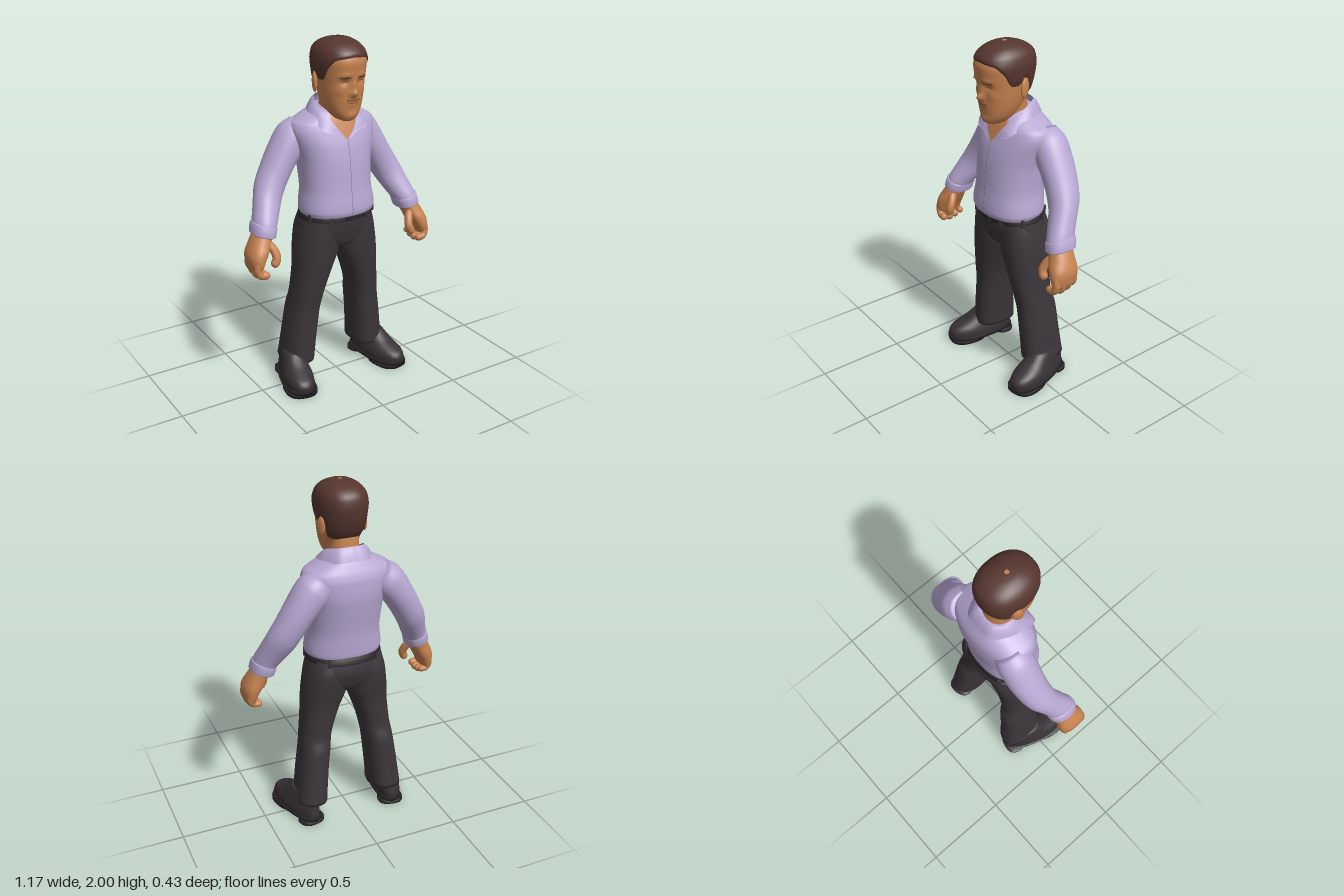
import * as THREE from 'three';
import { mergeVertices } from 'three/addons/utils/BufferGeometryUtils.js';

const mat = (name, color) => Object.assign(new THREE.MeshStandardMaterial({ color, side: THREE.DoubleSide }), { name });
const M = {
  skin: mat('skin', 0xc68250), crease: mat('faceCrease', 0x8f5935), hair: mat('hair', 0x56362e),
  shirt: mat('shirt', 0xb8a8d3), seam: mat('shirtSeam', 0x7d7193), pants: mat('trousers', 0x3b353a),
  belt: mat('belt', 0x2a2529), shoe: mat('shoe', 0x383236), sole: mat('sole', 0x262226),
};
const mesh = (name, geo, m) => Object.assign(new THREE.Mesh(geo, m), { name });

// Smooth surface through rows of points
function skinRows(rows) {
  const n = rows[0].length, pos = rows.flat().flatMap(p => [p.x, p.y, p.z]), idx = [];
  for (let j = 0; j < rows.length - 1; j++) for (let i = 0; i < n - 1; i++) {
    const a = j * n + i;
    idx.push(a, a + 1, a + n + 1, a, a + n + 1, a + n);
  }
  let g = new THREE.BufferGeometry();
  g.setAttribute('position', new THREE.Float32BufferAttribute(pos, 3));
  g.setIndex(idx);
  g = mergeVertices(g, 1e-5);
  g.computeVertexNormals();
  return g;
}
const grid = (f, nu, nv) => skinRows(Array.from({ length: nv + 1 }, (_, j) =>
  Array.from({ length: nu + 1 }, (_, i) => f(i / nu, j / nv))));

// Interpolates a table whose first column is the key, without overshoot
function sample(t, y) {
  let k = 0;
  while (k < t.length - 2 && y > t[k + 1][0]) k++;
  const h = t[k + 1][0] - t[k][0], s = THREE.MathUtils.clamp((y - t[k][0]) / h, 0, 1);
  const slope = (i, c) => (t[i + 1][c] - t[i][c]) / (t[i + 1][0] - t[i][0]);
  const tangent = (i, c) => {
    if (i === 0) return slope(0, c);
    if (i === t.length - 1) return slope(i - 1, c);
    const a = slope(i - 1, c), b = slope(i, c);
    return a * b <= 0 ? 0 : 2 * a * b / (a + b);
  };
  return t[k].map((p, c) => c === 0 ? y :
    p * (1 + 2 * s) * (1 - s) ** 2 + t[k + 1][c] * s * s * (3 - 2 * s) +
    h * tangent(k, c) * s * (1 - s) ** 2 + h * tangent(k + 1, c) * s * s * (s - 1));
}

// Point on a body of sections [y, centreX, halfWidth, zFront, zBack, tilt]; angle 0 faces front
function ringPoint(secs, y, a, off = 0, pow = 2.3) {
  const [, cx, rx, zf, zb, tilt = 0] = sample(secs, y), q = v => Math.sign(v) * Math.abs(v) ** (2 / pow);
  const x = q(Math.sin(a)) * (rx + off), z = (zf + zb) / 2 + q(Math.cos(a)) * ((zf - zb) / 2 + off);
  return new THREE.Vector3(cx + x * Math.cos(tilt), y + x * Math.sin(tilt), z);
}
const levels = (secs, sub) => secs.slice(1).flatMap((s, i) =>
  Array.from({ length: sub }, (_, k) => secs[i][0] + (s[0] - secs[i][0]) * (k + 1) / sub));

function loft(secs, { sub = 4, seg = 32, pow = 2.3, point = ringPoint } = {}) {
  const ys = [secs[0][0], ...levels(secs, sub)];
  const rows = ys.map(y => Array.from({ length: seg + 1 }, (_, i) => point(secs, y, -Math.PI + i * 2 * Math.PI / seg, 0, pow)));
  const cap = row => {
    const c = row[0].clone().add(row[seg / 2]).multiplyScalar(0.5);
    return row.map(() => c);
  };
  return skinRows([cap(rows[0]), ...rows, cap(rows[rows.length - 1])]);
}

// Adds a mesh and its mirror image
function pair(group, name, geo, m) {
  const g = geo.clone().scale(-1, 1, 1), ix = g.index.array;
  for (let i = 0; i < ix.length; i += 3) [ix[i], ix[i + 1]] = [ix[i + 1], ix[i]];
  group.add(mesh('left' + name, geo, m), mesh('right' + name, g, m));
}

const torso = [
  [1.03, 0, .212, .165, -.163], [1.06, 0, .22, .172, -.17], [1.18, 0, .204, .158, -.178], [1.32, 0, .212, .145, -.2],
  [1.42, 0, .235, .127, -.212], [1.5, 0, .255, .1, -.208], [1.54, 0, .245, .085, -.197], [1.575, 0, .19, .07, -.18],
  [1.61, 0, .12, .05, -.16], [1.63, 0, .08, .03, -.14]];
const arm = [
  [.985, .475, .062, .093, -.065, .25], [1.03, .46, .066, .085, -.078, .35], [1.09, .432, .073, .055, -.11, .45],
  [1.19, .385, .082, .01, -.165, .5], [1.28, .334, .084, -.003, -.19, .53], [1.36, .285, .088, -.005, -.203, .58],
  [1.45, .218, .098, -.005, -.208, .8], [1.5, .165, .08, -.02, -.19, .9]];
const cuff = [
  [.972, .478, .062, .093, -.066, .25], [.978, .477, .068, .1, -.072, .25], [1.025, .464, .069, .092, -.079, .32], [1.032, .461, .062, .08, -.07, .32]];
const palm = [
  [.8, .548, .03, .115, -.03], [.84, .543, .042, .127, -.04], [.89, .528, .056, .122, -.046], [.94, .503, .058, .1, -.044], [1.0, .475, .05, .075, -.045]];
const leg = [
  [.125, .238, .092, .06, -.198], [.2, .23, .09, .062, -.19], [.32, .217, .088, .066, -.178], [.45, .2, .086, .07, -.168],
  [.55, .184, .088, .084, -.142], [.7, .152, .105, .105, -.142], [.82, .126, .124, .115, -.158], [.93, .114, .118, .12, -.17], [1.02, .105, .1, .12, -.15]];
const pelvis = [
  [.805, 0, .05, .05, -.1], [.84, 0, .16, .1, -.145], [.89, 0, .228, .12, -.168], [.95, 0, .228, .135, -.183], [1.05, 0, .205, .145, -.165]];
const belt = [[1.0, 0, .212, .145, -.17], [1.002, 0, .219, .153, -.178], [1.04, 0, .213, .157, -.172], [1.042, 0, .2, .14, -.16]];
const head = [
  [1.565, 0, .03, .135, .06], [1.578, 0, .055, .155, .01], [1.62, 0, .087, .164, -.03], [1.68, 0, .108, .17, -.07],
  [1.75, 0, .12, .175, -.11], [1.82, 0, .127, .187, -.133], [1.88, 0, .132, .194, -.14], [1.93, 0, .122, .178, -.132],
  [1.965, 0, .096, .14, -.1], [1.985, 0, .062, .095, -.052], [1.993, 0, .035, .065, -.015], [1.995, 0, .004, .03, .02]];
const neck = [[1.5, 0, .07, .05, -.1], [1.6, 0, .082, .082, -.11], [1.66, 0, .084, .09, -.1], [1.74, 0, .085, .09, -.09]];

// Face relief [x, y, spreadX, spreadY, depth]: nose, brows, eye sockets, lips, chin, cheeks
const relief = [
  [0, 1.722, .02, .02, .035], [0, 1.765, .014, .03, .019], [.05, 1.818, .035, .014, .007], [.047, 1.785, .024, .016, -.014],
  [0, 1.683, .035, .012, .008], [0, 1.657, .028, .008, .005], [0, 1.6, .03, .018, .007], [.075, 1.735, .025, .025, .006]];
function headPoint(secs, y, a, off = 0, pow = 2.3) {
  const p = ringPoint(secs, y, a, off, pow);
  if (Math.cos(a) > 0) for (const [x, by, sx, sy, d] of relief)
    p.z += d * Math.exp(-(((Math.abs(p.x) - x) / sx) ** 2) - ((y - by) / sy) ** 2);
  return p;
}
const headPatch = (a0, a1, y0, y1) => grid((u, v) => headPoint(head, y0 + (y1 - y0) * v, a0 + (a1 - a0) * u, .003), 12, 2);
const torsoPatch = (y0, y1, half, off, n = 12) => grid((u, v) => {
  const y = y0 + (y1 - y0) * v;
  return ringPoint(torso, y, (u * 2 - 1) * half(v), off);
}, 8, n);

// Hairline height by angle from the front
const hairline = [[0, 1.913], [.7, 1.9], [1.1, 1.85], [1.33, 1.79], [1.6, 1.785], [1.74, 1.825], [1.95, 1.81], [2.12, 1.715], [Math.PI, 1.7]];

function buildHead() {
  const g = new THREE.Group();
  g.name = 'head';
  g.add(mesh('face', loft(head, { seg: 72, sub: 6, point: headPoint }), M.skin), mesh('neck', loft(neck), M.skin));
  g.add(mesh('hair', grid((u, v) => {
    const a = (u * 2 - 1) * Math.PI, low = sample(hairline, Math.abs(a))[1];
    const y = low + (1.995 - low) * Math.sin(v * Math.PI / 2);
    const p = ringPoint(head, y, a, .007 * Math.min(1, v * 12));
    p.y += .005 * v;
    return p;
  }, 80, 24), M.hair));
  pair(g, 'Ear', new THREE.SphereGeometry(1, 14, 12).scale(.014, .056, .032).rotateX(-.15).rotateY(.35).translate(.126, 1.765, -.012), M.skin);
  pair(g, 'Eyebrow', headPatch(.14, .62, 1.803, 1.813), M.crease);
  pair(g, 'EyeLine', headPatch(.2, .5, 1.783, 1.788), M.crease);
  g.add(mesh('moustache', headPatch(-.3, .3, 1.681, 1.692), M.crease), mesh('mouth', headPatch(-.22, .22, 1.667, 1.671), M.crease));
  return g;
}

// Folded collar between a fold edge and an outer edge
function collarGeometry() {
  const curve = pts => new THREE.CatmullRomCurve3(pts.map(p => new THREE.Vector3(...p)));
  const fold = curve([[0, 1.675, -.127], [.065, 1.672, -.115], [.106, 1.65, -.04], [.1, 1.605, .04], [.066, 1.54, .098], [.01, 1.463, .125]]);
  const edge = curve([[0, 1.605, -.168], [.085, 1.602, -.158], [.152, 1.585, -.06], [.16, 1.56, .02], [.142, 1.525, .09], [.122, 1.508, .112]]);
  return grid((u, v) => {
    const p = edge.getPoint(u).lerp(fold.getPoint(u), v);
    p.y += .012 * Math.sin(v * Math.PI);
    return p;
  }, 24, 5);
}

function buildShirt() {
  const g = new THREE.Group();
  g.name = 'shirt';
  g.add(mesh('torso', loft(torso, { seg: 48 }), M.shirt));
  g.add(mesh('openNeck', torsoPatch(1.46, 1.61, v => .005 + .45 * v, .004), M.skin));
  g.add(mesh('placket', torsoPatch(1.045, 1.465, () => .035, .004, 24), M.shirt));
  g.add(mesh('placketSeam', torsoPatch(1.045, 1.465, () => .0035, .006, 24), M.seam));
  pair(g, 'Collar', collarGeometry(), M.shirt);
  pair(g, 'Sleeve', loft(arm, { pow: 2.1 }), M.shirt);
  pair(g, 'Cuff', loft(cuff, { sub: 2 }), M.shirt);
  return g;
}

function buildHands() {
  const g = new THREE.Group();
  g.name = 'hands';
  // Rounded finger swept along a bent path
  const digit = (name, pts, r) => {
    const c = new THREE.CatmullRomCurve3(pts.map(p => new THREE.Vector3(...p)));
    pair(g, name, new THREE.TubeGeometry(c, 12, r, 10), M.skin);
    pair(g, name + 'Tip', new THREE.SphereGeometry(r, 10, 8).translate(...pts[pts.length - 1]), M.skin);
  };
  pair(g, 'Palm', loft(palm, { seg: 24 }), M.skin);
  [.104, .064, .024, -.014].forEach((z, i) => {
    const d = [.006, 0, .006, .018][i];
    digit('Finger' + (i + 1), [[.548, .86, z], [.557, .805 + d, z], [.54, .772 + d, z + .003], [.51, .768 + d, z + .004]], [.022, .023, .022, .019][i]);
  });
  digit('Thumb', [[.485, .95, .05], [.45, .905, .085], [.441, .86, .105], [.453, .832, .108]], .024);
  return g;
}

function buildTrousers() {
  const g = new THREE.Group();
  g.name = 'trousers';
  g.add(mesh('seat', loft(pelvis, { seg: 40 }), M.pants), mesh('belt', loft(belt, { sub: 1, seg: 40 }), M.belt));
  g.add(mesh('buckle', new THREE.BoxGeometry(.06, .036, .012).translate(0, 1.021, .158), M.belt));
  pair(g, 'Leg', loft(leg, { pow: 2.4 }), M.pants);
  // Belt loops
  for (const a of [.5, 1.2, 2.5]) {
    const p = ringPoint(belt, 1.02, a, .002);
    pair(g, 'BeltLoop', new THREE.BoxGeometry(.018, .05, .012).rotateY(a).translate(p.x, p.y, p.z), M.pants);
  }
  return g;
}

function buildShoes() {
  const g = new THREE.Group();
  g.name = 'shoes';
  const upper = [
    [.025, 0, .08, .212, -.195], [.06, 0, .084, .216, -.2], [.088, 0, .08, .2, -.195], [.112, 0, .074, .155, -.19],
    [.135, 0, .069, .105, -.185], [.165, 0, .062, .06, -.175], [.19, 0, .05, .03, -.16]];
  // Narrow the heel, then turn the toes outward
  const place = geo => {
    const p = geo.attributes.position;
    for (let i = 0; i < p.count; i++) {
      const k = THREE.MathUtils.smoothstep(p.getZ(i), -.2, .1);
      p.setX(i, p.getX(i) * (.84 + .24 * k));
    }
    geo.computeVertexNormals();
    return geo.rotateY(.2).translate(.287, 0, 0);
  };
  const slab = (y0, y1, zf, zb) => loft([[y0, 0, .087, zf, zb], [y1, 0, .087, zf, zb]], { sub: 1, pow: 2.6 });
  pair(g, 'ShoeUpper', place(loft(upper, { sub: 3 })), M.shoe);
  pair(g, 'Sole', place(slab(.018, .038, .218, -.203)), M.sole);
  pair(g, 'SoleFront', place(slab(0, .02, .214, -.02)), M.sole);
  pair(g, 'Heel', place(slab(0, .02, -.085, -.202)), M.sole);
  return g;
}

export function createModel() {
  const model = new THREE.Group();
  model.name = 'standingMan';
  model.add(buildHead(), buildShirt(), buildHands(), buildTrousers(), buildShoes());
  return model;
}
